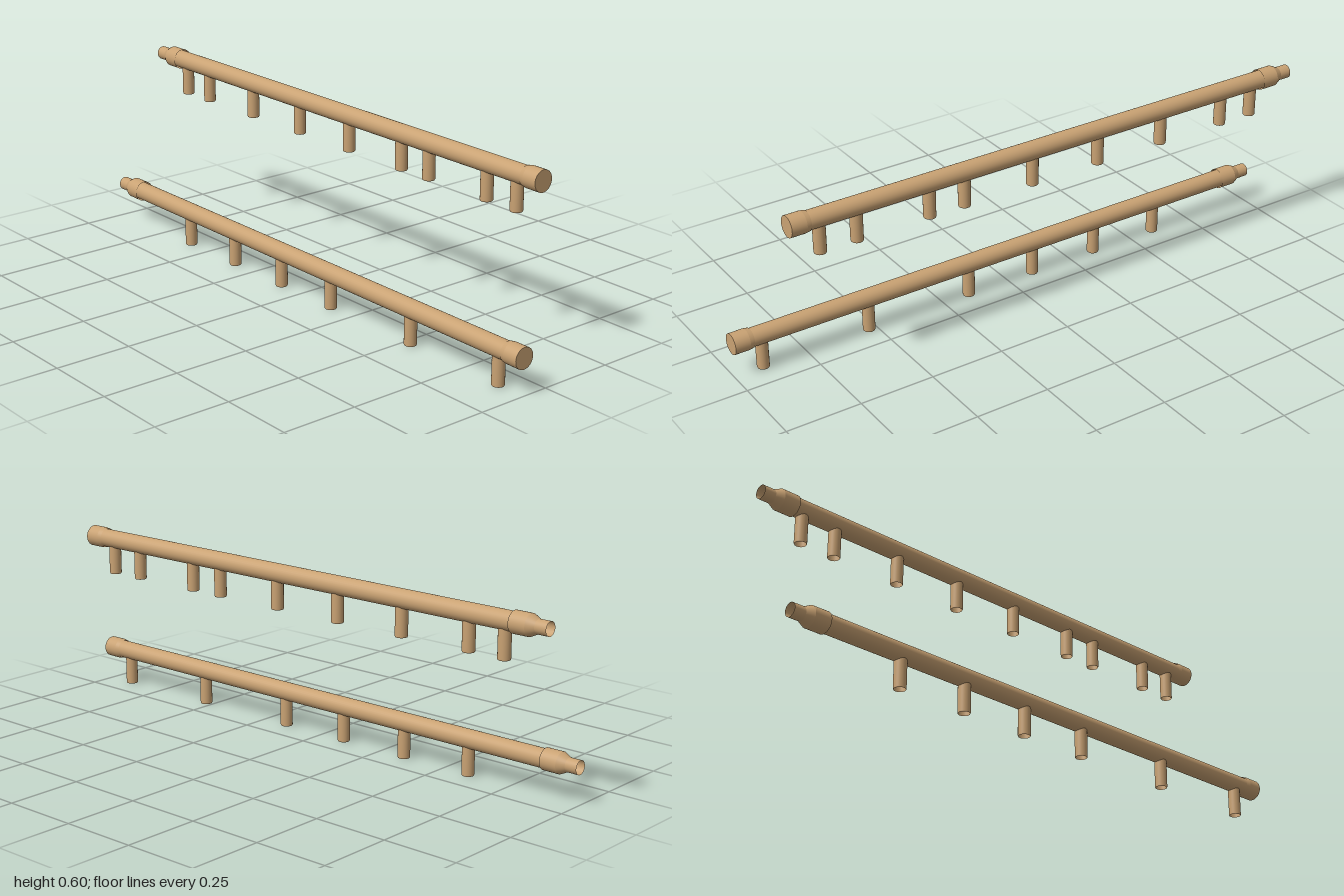
import * as THREE from 'three';

const tan = new THREE.MeshStandardMaterial({ color: 0xc9a273, side: THREE.DoubleSide });
const SEG = 32;

// Turned part along z, from [radius, z] pairs; each straight run gets its own crisp edges.
function turned(name, profile) {
  const part = new THREE.Group();
  part.name = name;
  for (let i = 0; i < profile.length - 1; i++) {
    const pts = [profile[i], profile[i + 1]].map(([r, z]) => new THREE.Vector2(r, z));
    const mesh = new THREE.Mesh(new THREE.LatheGeometry(pts, SEG).rotateX(Math.PI / 2), tan);
    mesh.name = name + 'Section';
    part.add(mesh);
  }
  return part;
}

// One manifold: long pipe, end cap at the front, reducer at the back, row of outlets below.
function manifold(name, x, y, front, outlets) {
  const g = new THREE.Group();
  g.name = name;
  g.position.set(x, y, 0);

  g.add(turned('mainPipe', [[0.03, -0.9], [0.03, front - 0.03]]));
  g.add(turned('endCap', [[0.032, front - 0.065], [0.0345, front - 0.05], [0.0345, front], [0, front]]));
  g.add(turned('reducer', [[0.0225, -1], [0.0225, -0.96], [0.0345, -0.935], [0.0345, -0.878]]));

  // Open outlet stubs with a slightly eased lower rim
  const profile = [[0.0185, -0.117], [0.02, -0.114], [0.02, -0.02]].map(([r, h]) => new THREE.Vector2(r, h));
  const stubGeometry = new THREE.LatheGeometry(profile, SEG);
  for (const z of outlets) {
    const stub = new THREE.Mesh(stubGeometry, tan);
    stub.name = 'outletStub';
    stub.position.z = z;
    g.add(stub);
  }
  return g;
}

export function createModel() {
  const model = new THREE.Group();
  model.name = 'pipeManifolds';
  model.add(manifold('upperManifold', 0.09, 0.57, 0.875,
    [0.773, 0.65, 0.4, 0.276, 0.027, -0.222, -0.472, -0.72, -0.846]));
  model.add(manifold('lowerManifold', -0.09, 0.118, 1,
    [0.9, 0.527, 0.153, -0.096, -0.345, -0.596]));
  // Stand the lower stubs exactly on the ground
  model.position.y = -0.001;
  return model;
}
